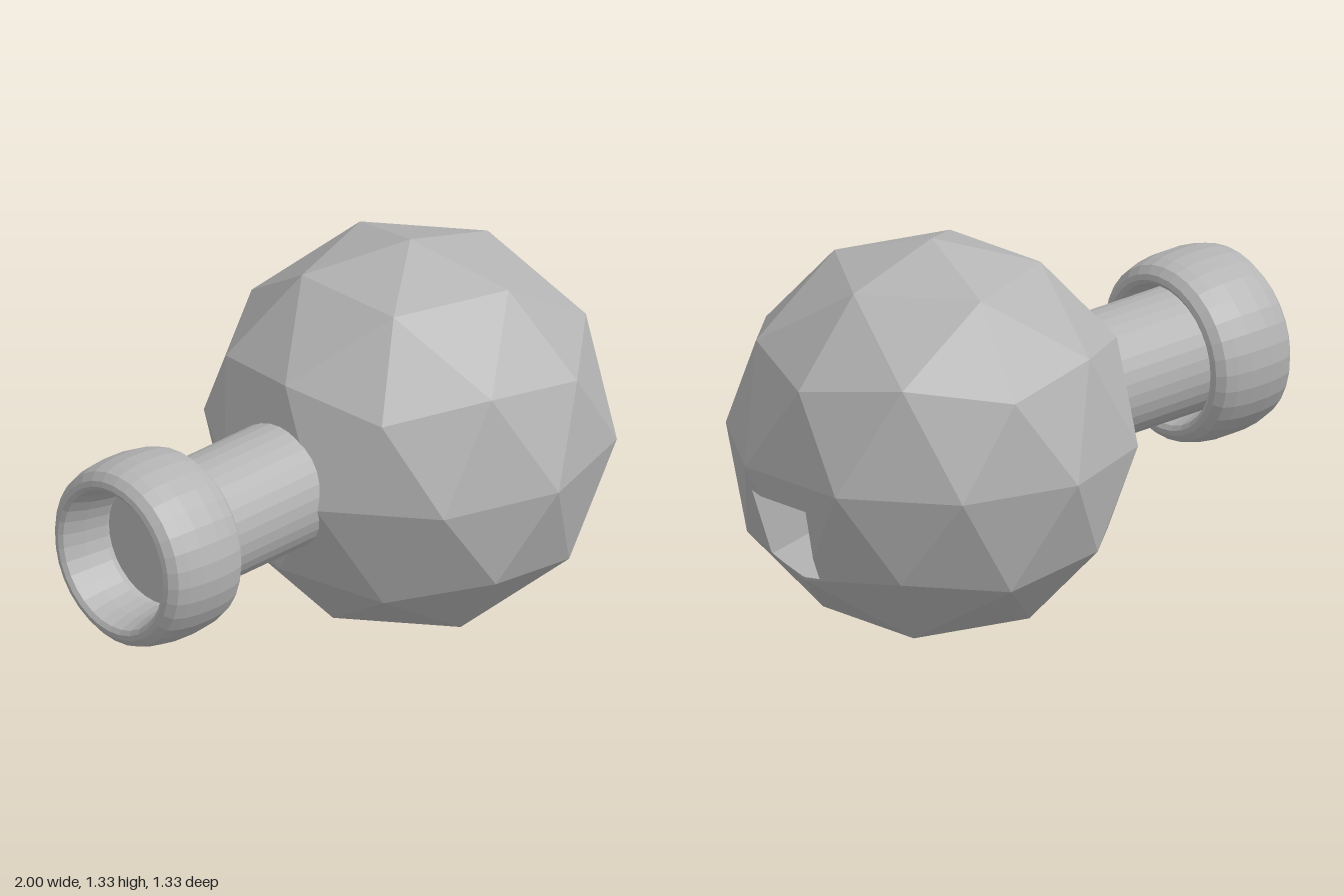
import * as THREE from 'three';

const R = 0.667, CENTER = new THREE.Vector3(0.363, R, 0);

// Splits a convex polygon by a plane into [behind, inFront]
function split(poly, plane) {
  const behind = [], front = [];
  poly.forEach((a, i) => {
    const b = poly[(i + 1) % poly.length];
    const da = plane.distanceToPoint(a), db = plane.distanceToPoint(b);
    if (da <= 0) behind.push(a);
    if (da >= 0) front.push(a);
    if (da * db < 0) {
      const p = a.clone().lerp(b, da / (da - db));
      behind.push(p);
      front.push(p);
    }
  });
  return [behind, front];
}

const planeOf = (p) => new THREE.Plane().setFromCoplanarPoints(p[0], p[1], p[2]);

// Flat-shaded geometry from convex polygons
function polygons(list) {
  const pts = [];
  for (const p of list) {
    for (let i = 1; i < p.length - 1; i++) pts.push(p[0], p[i], p[i + 1]);
  }
  const g = new THREE.BufferGeometry().setFromPoints(pts);
  g.computeVertexNormals();
  return g;
}

export function createModel() {
  const model = new THREE.Group();
  const grey = new THREE.MeshStandardMaterial({ color: 0xb4b4b4 });
  grey.name = 'grey';

  const add = (name, geometry) => {
    const mesh = new THREE.Mesh(geometry, grey);
    mesh.name = name;
    model.add(mesh);
    return mesh;
  };

  const flat = (geometry) => {
    const g = geometry.index ? geometry.toNonIndexed() : geometry;
    g.computeVertexNormals();
    return g;
  };

  // Faceted ball with one corner pointing straight up
  const ico = new THREE.IcosahedronGeometry(R, 1);
  ico.rotateZ(-(Math.PI / 2 - Math.atan2(1 + Math.sqrt(5), 2)));
  ico.translate(CENTER.x, CENTER.y, CENTER.z);
  const pos = ico.attributes.position;
  const faces = [];
  for (let i = 0; i < pos.count; i += 3) {
    faces.push([0, 1, 2].map((k) => new THREE.Vector3().fromBufferAttribute(pos, i + k)));
  }

  // Square slot, slightly tilted, running from the ball's side to its middle
  const BACK = 0.33, FRONT = 1.15;
  const corner = (i, x) => {
    const [y, z] = [[0.33, -0.055], [0.33, 0.205], [0.585, 0.205], [0.585, -0.055]][i % 4];
    const d = 0.93 - x;
    return new THREE.Vector3(x, y + 0.2 * d, z - 0.05 * d);
  };
  const middle = corner(0, 0.7).add(corner(2, 0.7)).multiplyScalar(0.5);
  const walls = [0, 1, 2, 3].map((i) =>
    [corner(i, FRONT), corner(i + 1, FRONT), corner(i + 1, BACK), corner(i, BACK)]);
  walls.push([0, 1, 2, 3].map((i) => corner(i, BACK)));
  for (const w of walls) if (planeOf(w).distanceToPoint(middle) < 0) w.reverse();

  // Ball skin with the slot cut out
  const skin = [];
  for (const face of faces) {
    let rest = face;
    const pieces = [];
    for (const w of walls) {
      if (rest.length < 3) break;
      const [outside, inside] = split(rest, planeOf(w));
      if (outside.length > 2) pieces.push(outside);
      rest = inside;
    }
    if (rest.length > 2) skin.push(...pieces);
    else skin.push(face);
  }
  add('ball', polygons(skin));

  // Slot lining, trimmed to the ball
  const ballPlanes = faces.map(planeOf);
  const lining = walls.map((w) => ballPlanes.reduce((p, plane) => split(p, plane)[0], w));
  add('slot', polygons(lining));

  // Shaft, whose inner end shows at the back of the slot
  const x0 = -0.8, x1 = 0.36;
  const shaft = new THREE.CylinderGeometry(0.21, 0.21, x1 - x0, 32);
  shaft.rotateZ(-Math.PI / 2);
  add('shaft', flat(shaft)).position.set((x0 + x1) / 2, 0.67, 0);

  // Rounded collar, hollow at both ends and slightly askew
  const profile = [
    [0.2, 0], [0.213, -0.08], [0.235, -0.153], [0.25, -0.163], [0.268, -0.158], [0.293, -0.135],
    [0.305, -0.095], [0.312, -0.04], [0.312, 0.04], [0.305, 0.095], [0.293, 0.135],
    [0.268, 0.158], [0.25, 0.163], [0.235, 0.153], [0.213, 0.08], [0.2, 0],
  ].map(([r, y]) => new THREE.Vector2(r, y));
  const collar = new THREE.LatheGeometry(profile, 32);
  collar.rotateZ(-Math.PI / 2);
  const collarMesh = add('collar', flat(collar));
  collarMesh.position.set(-0.825, 0.67, 0);
  collarMesh.rotation.set(0, -0.05, -0.025);

  return model;
}
